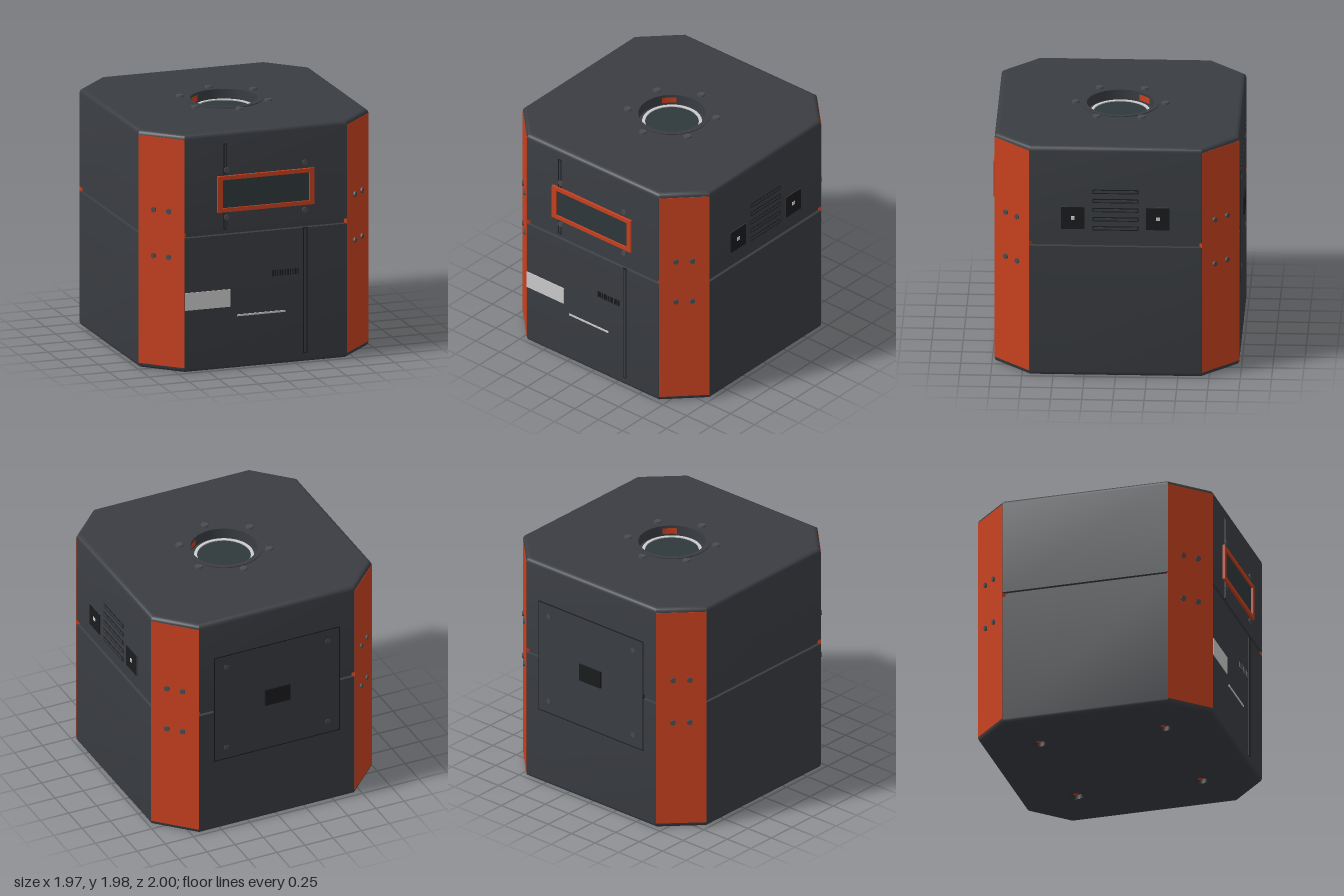
import * as THREE from 'three';
import { toCreasedNormals } from 'three/addons/utils/BufferGeometryUtils.js';

const mat = (color, side = THREE.FrontSide) => new THREE.MeshStandardMaterial({ color, side });
const BODY = mat(0x3a3d42), DARK = mat(0x1b1c1e), ORANGE = mat(0xc8411f);
const GREY = mat(0xcccccc), GLASS = mat(0x2f383b), BOLT = mat(0x4a4c50);
const LINER = mat(0x2c2e32, THREE.DoubleSide), MARK = mat(0xc8411f, THREE.DoubleSide);

const HALF = 0.98, FLAT = 0.69, TOP = 1.965, BEVEL = 0.035;

// Corners of the chamfered square, shrunk by an inset
function octagon(inset) {
  const h = HALF - inset, w = FLAT - inset * 0.414;
  return [[w, h], [h, w], [h, -w], [w, -h], [-w, -h], [-h, -w], [-h, w], [-w, h]];
}

function add(parent, name, geometry, material, x = 0, y = 0, z = 0) {
  const mesh = new THREE.Mesh(geometry, material);
  mesh.name = name;
  mesh.position.set(x, y, z);
  parent.add(mesh);
  return mesh;
}

// Box lying on a face, from slightly below the surface up to a height
function plate(parent, name, material, x, y, w, h, rise) {
  const sunk = 0.01;
  return add(parent, name, new THREE.BoxGeometry(w, h, rise + sunk), material, x, y, (rise - sunk) / 2);
}

// Body-coloured plate with a thin dark outline
function outlined(parent, name, x, y, w, h, line = 0.008) {
  plate(parent, name + 'Outline', DARK, x, y, w, h, 0.003);
  plate(parent, name, BODY, x, y, w - 2 * line, h - 2 * line, 0.0045);
}

// Hexagonal bolt head on a face
function bolt(parent, x, y, r, rise) {
  const g = new THREE.CylinderGeometry(r * 0.9, r, rise + 0.01, 6).rotateX(Math.PI / 2);
  return add(parent, 'bolt', g, BOLT, x, y, (rise - 0.01) / 2);
}

// Group whose local +z points out of one side of the body
function sideGroup(root, name, angle, distance = HALF) {
  const g = new THREE.Group();
  g.name = name;
  g.rotation.y = angle;
  g.position.set(Math.sin(angle) * distance, 0, Math.cos(angle) * distance);
  root.add(g);
  return g;
}

// Walls with rounded rims and the horizontal groove
function wallGeometry() {
  const rows = [];
  for (let i = 0; i <= 4; i++) {
    const a = (i / 4) * Math.PI / 2;
    rows.push([BEVEL * (1 - Math.sin(a)), BEVEL * (1 - Math.cos(a))].reverse());
  }
  const rim = rows.map(([y, inset]) => [y, inset]);
  const profile = [...rim, [1.113, 0], [1.118, 0.02], [1.15, 0.02], [1.155, 0],
    ...rim.map(([y, inset]) => [TOP - y, inset]).reverse()];
  const pos = [];
  for (let r = 0; r < profile.length - 1; r++) {
    const [y0, i0] = profile[r], [y1, i1] = profile[r + 1];
    const lo = octagon(i0), hi = octagon(i1);
    for (let k = 0; k < 8; k++) {
      const n = (k + 1) % 8;
      const a = [lo[k][0], y0, lo[k][1]], b = [lo[n][0], y0, lo[n][1]];
      const c = [hi[n][0], y1, hi[n][1]], d = [hi[k][0], y1, hi[k][1]];
      pos.push(...a, ...b, ...c, ...a, ...c, ...d);
    }
  }
  const g = new THREE.BufferGeometry();
  g.setAttribute('position', new THREE.Float32BufferAttribute(pos, 3));
  return toCreasedNormals(g, 0.6);
}

// Flat cap with round holes given as [x, z, radius]
function capGeometry(holes, direction) {
  const shape = new THREE.Shape(octagon(BEVEL).map(([x, z]) => new THREE.Vector2(x, z)));
  for (const [x, z, r] of holes) {
    shape.holes.push(new THREE.Path().absarc(x, z, r, 0, Math.PI * 2, true));
  }
  return new THREE.ShapeGeometry(shape, 32).rotateX(-direction * Math.PI / 2);
}

function lathe(points, segments = 48) {
  const g = new THREE.LatheGeometry(points.map(([r, y]) => new THREE.Vector2(r, y)), segments);
  return toCreasedNormals(g, 0.5);
}

export function createModel() {
  const root = new THREE.Group();
  root.name = 'machineCube';

  // Shell
  const feet = [[1, 1], [1, -1], [-1, -1], [-1, 1]].map(([x, z]) => [x * 0.52, z * 0.52, 0.055]);
  add(root, 'bodyWalls', wallGeometry(), BODY);
  add(root, 'topCap', capGeometry([[0, 0, 0.29]], 1), BODY, 0, TOP, 0);
  add(root, 'bottomCap', capGeometry(feet, -1), BODY);

  // Recessed sockets in the underside
  for (const [x, z, r] of feet) {
    add(root, 'footSocket', lathe([[r, 0], [r, 0.04], [0, 0.04]], 24), LINER, x, 0, z);
    add(root, 'footPin', new THREE.CylinderGeometry(0.028, 0.028, 0.02, 16), ORANGE, x, 0.03, z);
  }

  // Port in the top: raised lip, well, ring and glass
  add(root, 'portLip', lathe([[0.31, 1.955], [0.31, 1.972], [0.27, 1.972], [0.27, 1.885], [0.2, 1.885]]),
    mat(0x3a3d42, THREE.DoubleSide));
  add(root, 'portRing', lathe([[0.24, 1.88], [0.24, 1.9], [0.215, 1.9], [0.215, 1.88]]),
    mat(0xcccccc, THREE.DoubleSide));
  add(root, 'portGlass', new THREE.CylinderGeometry(0.22, 0.22, 0.02, 48), GLASS, 0, 1.882, 0);
  for (const a of [Math.PI / 4, Math.PI * 5 / 4]) {
    add(root, 'portMark', new THREE.CylinderGeometry(0.268, 0.268, 0.05, 8, 1, true, a - 0.22, 0.44),
      MARK, 0, 1.925, 0);
  }
  for (let i = 0; i < 6; i++) {
    const a = i * Math.PI / 3;
    add(root, 'topBolt', new THREE.CylinderGeometry(0.031, 0.036, 0.025, 6), BOLT,
      Math.sin(a) * 0.36, 1.9675, Math.cos(a) * 0.36);
  }

  // Corner strips with four bolts each
  for (let k = 0; k < 4; k++) {
    const corner = sideGroup(root, 'cornerStrip', Math.PI / 4 + k * Math.PI / 2, (HALF + FLAT) / Math.SQRT2);
    add(corner, 'strip', new THREE.BoxGeometry(0.406, 1.89, 0.03), ORANGE, 0, 0.985, -0.012);
    for (const x of [-0.067, 0.067]) for (const y of [0.945, 1.325]) bolt(corner, x, y, 0.025, 0.017);
  }

  // Front: seams, framed window, labels
  const front = sideGroup(root, 'frontPanel', 0);
  outlined(front, 'upperSeam', -0.345, 1.515, 0.032, 0.71);
  outlined(front, 'lowerSeam', 0.335, 0.595, 0.036, 1.04);
  const frame = new THREE.Shape([[-0.415, 1.305], [0.41, 1.305], [0.41, 1.605], [-0.415, 1.605]]
    .map(([x, y]) => new THREE.Vector2(x, y)));
  frame.holes.push(new THREE.Path([[-0.372, 1.338], [-0.372, 1.572], [0.368, 1.572], [0.368, 1.338]]
    .map(([x, y]) => new THREE.Vector2(x, y))));
  add(front, 'windowFrame', new THREE.ExtrudeGeometry(frame, { depth: 0.03, bevelEnabled: false }),
    ORANGE, 0, 0, -0.01);
  plate(front, 'windowGlass', GLASS, 0, 1.455, 0.76, 0.25, 0.006);
  for (const x of [-0.335, 0.33]) for (const y of [1.26, 1.652]) bolt(front, x, y, 0.027, 0.012);
  plate(front, 'label', GREY, -0.495, 0.588, 0.388, 0.145, 0.006);
  plate(front, 'stripe', GREY, -0.04, 0.438, 0.41, 0.015, 0.006);
  for (let i = 0; i < 11; i++) {
    plate(front, 'stripeCodeBar', DARK, 0.06 + i * 0.0213, 0.76, i % 3 ? 0.009 : 0.014, 0.05, 0.008);
  }

  // Right-hand face of the frame: vent slots and two sockets
  const side = sideGroup(root, 'ventPanel', Math.PI / 2);
  for (let i = 0; i < 5; i++) outlined(side, 'ventSlot', 0, 1.272 + i * 0.0785, 0.365, 0.036);
  for (const x of [-0.342, 0.34]) {
    plate(side, 'socketRim', BODY, x, 1.358, 0.198, 0.198, 0.004);
    plate(side, 'socket', DARK, x, 1.358, 0.188, 0.188, 0.006);
    plate(side, 'socketLight', GREY, x, 1.36, 0.03, 0.03, 0.01);
  }

  // Back: access panel with screws and latch
  const back = sideGroup(root, 'backPanel', Math.PI);
  outlined(back, 'accessPanel', 0, 1.137, 1.12, 0.98, 0.009);
  for (const x of [-0.45, 0.45]) for (const y of [-0.38, 0.38]) bolt(back, x, 1.137 + y, 0.025, 0.009);
  plate(back, 'latch', DARK, 0, 1.137, 0.225, 0.145, 0.02);

  return root;
}
